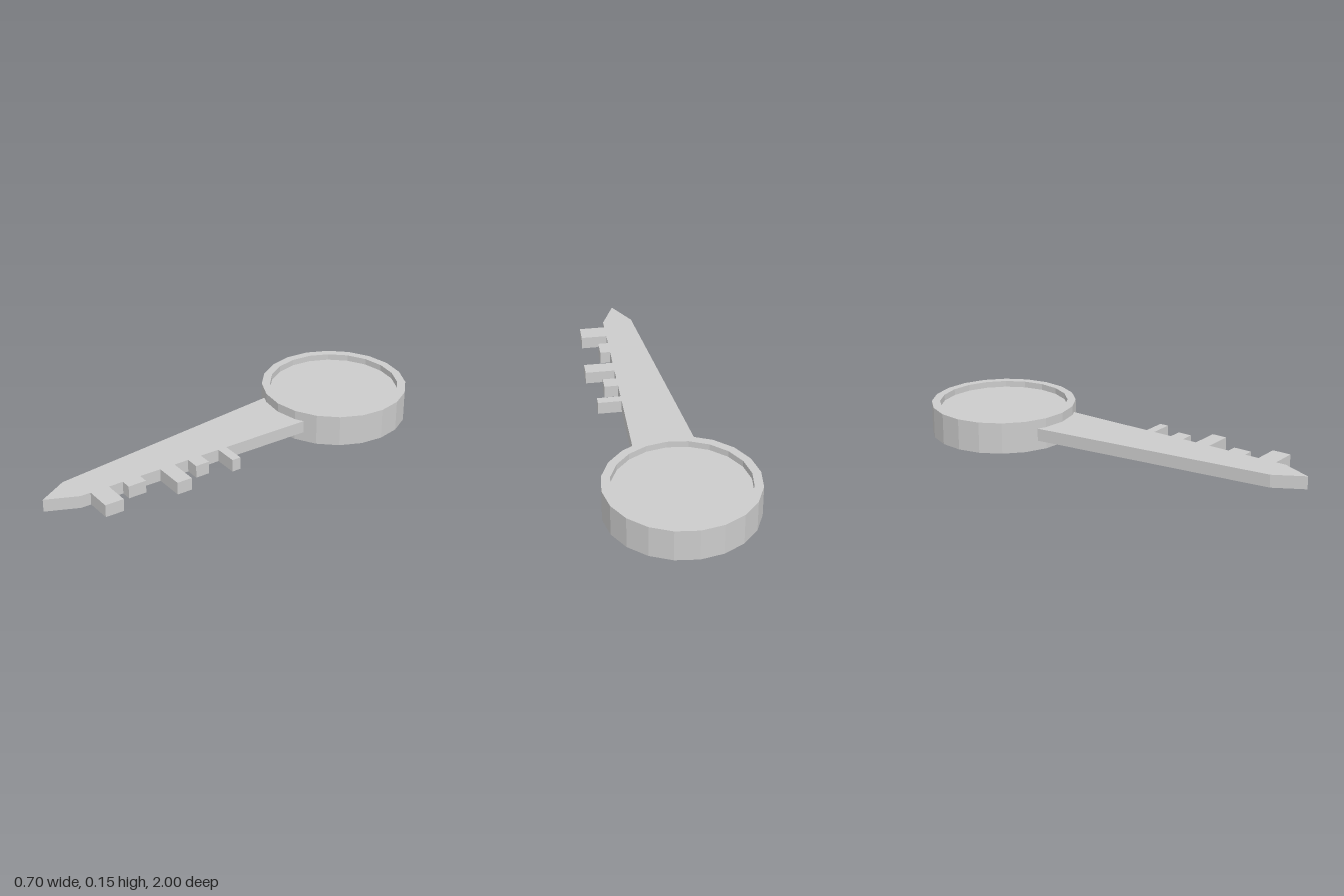
import * as THREE from 'three';

export function createModel() {
  const group = new THREE.Group();
  group.name = 'key';
  const material = new THREE.MeshStandardMaterial({ color: 0xcccccc, flatShading: true });

  // Round bow: a 20-sided disc, recessed above and below inside a raised rim
  const bowProfile = [
    [0, 0.03], [0.31, 0.03], [0.31, 0], [0.35, 0],
    [0.35, 0.15], [0.31, 0.15], [0.31, 0.12], [0, 0.12],
  ].map(([r, y]) => new THREE.Vector2(r, y));
  const bow = new THREE.Mesh(new THREE.LatheGeometry(bowProfile, 20), material);
  bow.name = 'bow';
  bow.position.z = -0.65;
  group.add(bow);

  // Tapered blade: half width at a given z
  const halfWidth = (z) => 0.147 - 0.0627 * (z + 0.33);
  const start = -0.34, shoulder = 0.855, tip = 1;

  // Teeth along the left edge: [start z, end z, outer x]
  const teeth = [
    [0.1, 0.143, 0.232],
    [0.238, 0.306, 0.177],
    [0.378, 0.452, 0.243],
    [0.556, 0.644, 0.14],
    [0.714, 0.805, 0.206],
  ];
  const slant = 0.05; // teeth stand square to the sloping edge

  const outline = [[-halfWidth(start), start], [halfWidth(start), start]];
  for (const [z0, z1, x] of teeth) {
    const w0 = halfWidth(z0), w1 = halfWidth(z1), xEnd = x - 0.0627 * (z1 - z0);
    outline.push([w0, z0], [x, z0 + slant * (x - w0)], [xEnd, z1 + slant * (xEnd - w1)], [w1, z1]);
  }
  outline.push([halfWidth(shoulder), shoulder], [0, tip], [-halfWidth(shoulder), shoulder]);

  const shape = new THREE.Shape(outline.map(([x, z]) => new THREE.Vector2(x, -z)));
  const bladeGeometry = new THREE.ExtrudeGeometry(shape, { depth: 0.06, bevelEnabled: false });
  bladeGeometry.rotateX(-Math.PI / 2);
  const blade = new THREE.Mesh(bladeGeometry, material);
  blade.name = 'toothedBlade';
  blade.position.y = 0.046;
  group.add(blade);

  return group;
}
